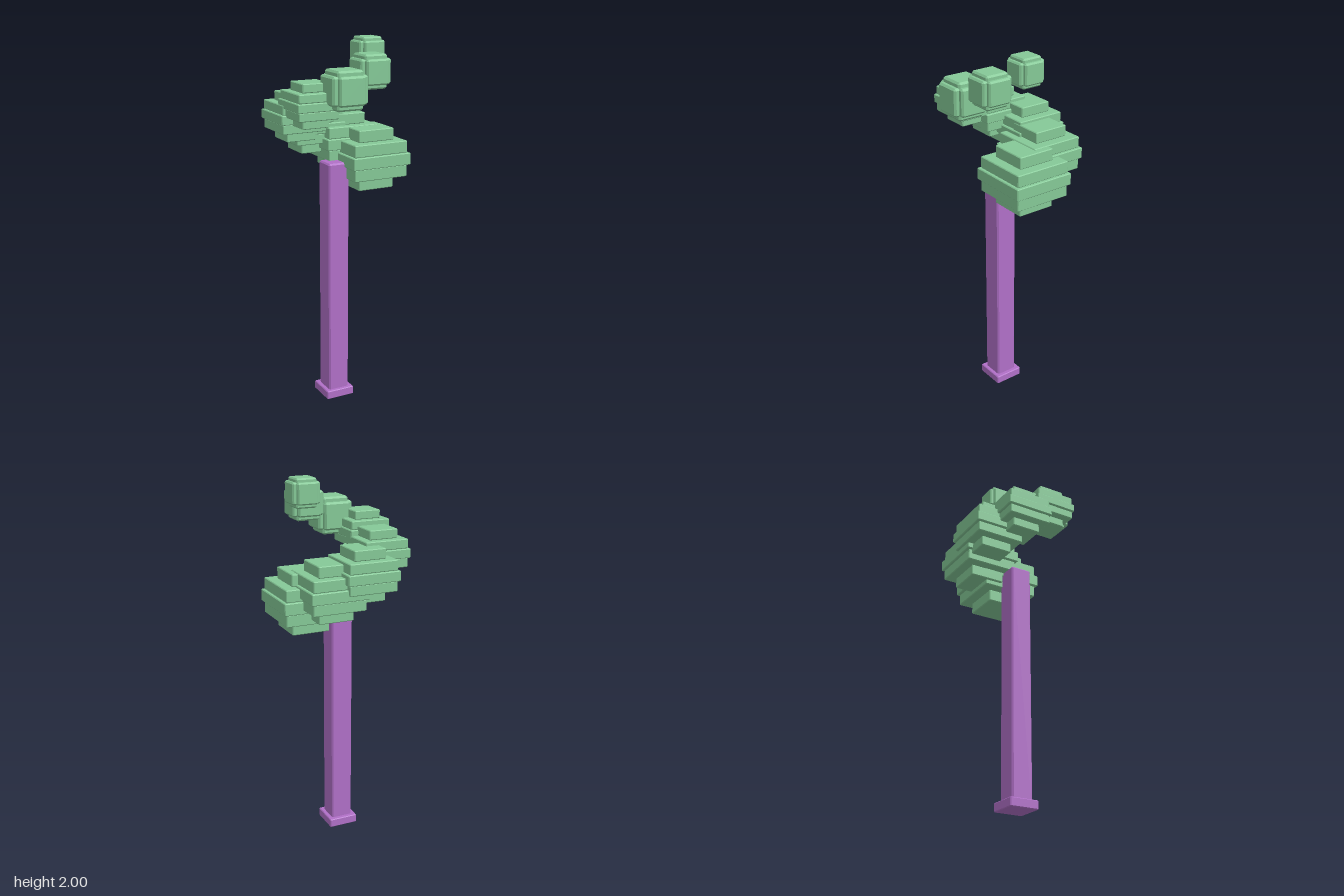
import * as THREE from 'three';
import { ConvexGeometry } from 'three/addons/geometries/ConvexGeometry.js';

// Box with a flat chamfer c along every edge
function chamferBox(w, h, d, c) {
  const points = [];
  for (const x of [-1, 1]) for (const y of [-1, 1]) for (const z of [-1, 1]) {
    for (let axis = 0; axis < 3; axis++) {
      const inset = [c, c, c];
      inset[axis] = 0;
      points.push(new THREE.Vector3(
        x * (w / 2 - inset[0]), y * (h / 2 - inset[1]), z * (d / 2 - inset[2])));
    }
  }
  return new ConvexGeometry(points);
}

export function createModel() {
  const model = new THREE.Group();
  model.name = 'spiralTree';

  const leafGreen = new THREE.MeshStandardMaterial({ color: 0x85c997 });
  leafGreen.name = 'leafGreen';
  const trunkPurple = new THREE.MeshStandardMaterial({ color: 0xb170c8 });
  trunkPurple.name = 'trunkPurple';

  function add(parent, name, material, size, position, chamfer) {
    const mesh = new THREE.Mesh(chamferBox(...size, chamfer), material);
    mesh.name = name;
    mesh.position.set(...position);
    parent.add(mesh);
  }

  // Trunk and its foot
  add(model, 'trunk', trunkPurple, [0.12, 1.34, 0.12], [-0.03, 0.685, 0.027], 0.008);
  add(model, 'trunkFoot', trunkPurple, [0.164, 0.048, 0.164], [-0.03, 0.026, 0.025], 0.004);

  // Large leaf clumps: five stacked slabs each, shrinking as they climb
  // [x, bottom y, z, width, height]
  const clumps = [
    [0.173, 1.2, 0.0225, 0.344, 0.325],
    [0.097, 1.29, -0.136, 0.32, 0.3],
    [-0.076, 1.385, -0.176, 0.294, 0.275],
    [-0.213, 1.478, -0.064, 0.267, 0.25],
    [-0.211, 1.572, 0.111, 0.242, 0.227],
  ];
  const slabScale = [0.607, 0.92, 1, 0.92, 0.607];
  clumps.forEach(([x, y, z, width, height], i) => {
    const clump = new THREE.Group();
    clump.name = `leafClump${i + 1}`;
    const t = height / 5;
    slabScale.forEach((s, k) => {
      add(clump, `leafSlab${k + 1}`, leafGreen,
        [width * s, t, width * s], [x, y + t * (k + 0.5), z], 0.004);
    });
    model.add(clump);
  });

  // Small leaf blocks: three crossed bars forming a notched cube
  // [x, y, z, width]
  const blocks = [
    [-0.073, 1.765, 0.22, 0.2],
    [0.098, 1.843, 0.178, 0.176],
    [0.172, 1.924, 0.018, 0.152],
  ];
  blocks.forEach(([x, y, z, width], i) => {
    const block = new THREE.Group();
    block.name = `leafBlock${i + 1}`;
    for (let axis = 0; axis < 3; axis++) {
      const size = [0.74 * width, 0.74 * width, 0.74 * width];
      size[axis] = width;
      add(block, `leafBar${'XYZ'[axis]}`, leafGreen, size, [x, y, z], 0.05 * width);
    }
    model.add(block);
  });

  return model;
}
